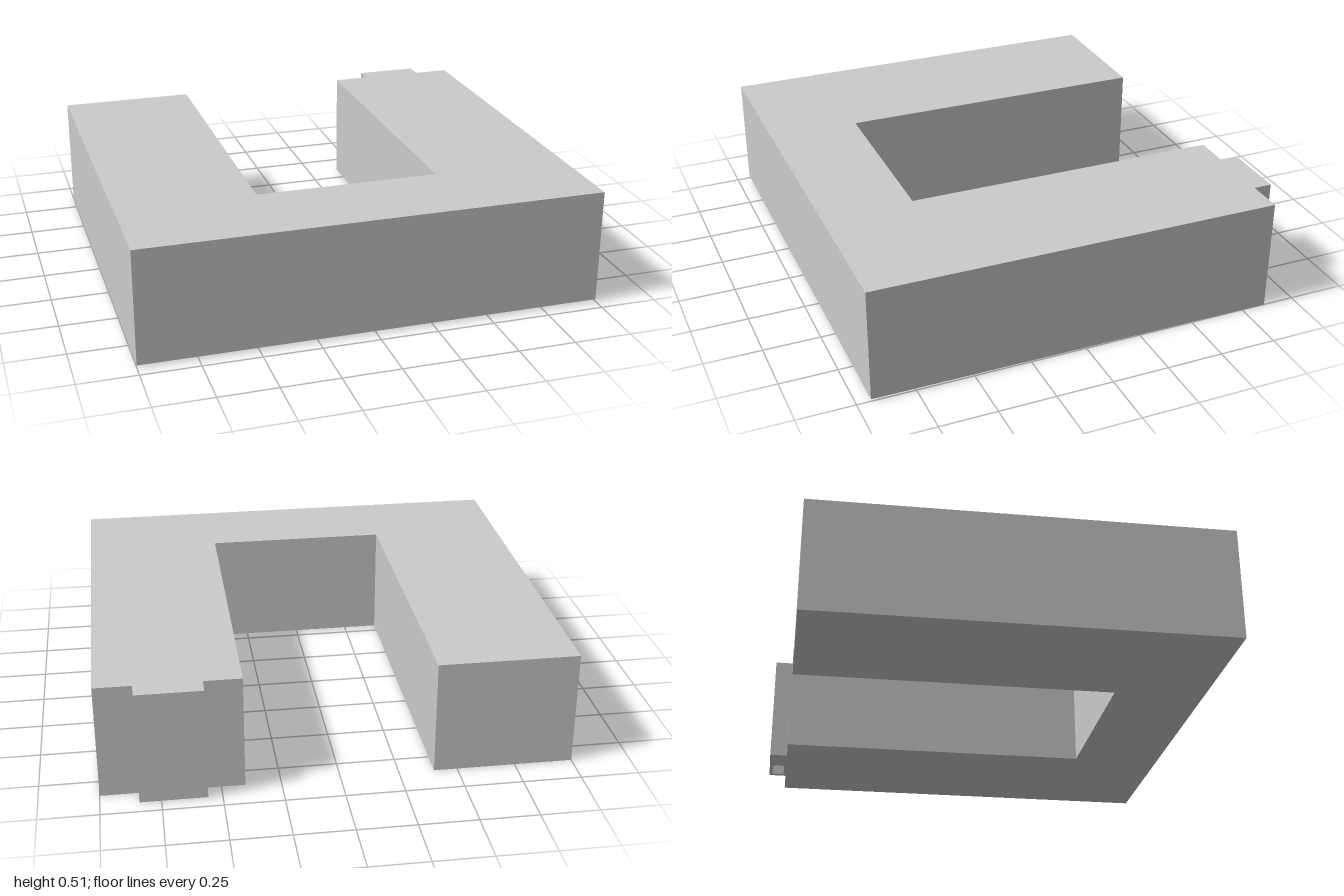
import * as THREE from 'three';

const material = new THREE.MeshStandardMaterial({ color: 0xcccccc, flatShading: true });

// Plan outline given as [x, z] pairs
const outline = (pts, Type = THREE.Shape) => new Type(pts.map(([x, z]) => new THREE.Vector2(x, -z)));
const rect = (x0, x1, z0, z1) => [[x0, z1], [x1, z1], [x1, z0], [x0, z0]];

// Raise a plan outline from y0 to y1
function prism(name, shape, y0, y1) {
  const geometry = new THREE.ExtrudeGeometry(shape, { depth: y1 - y0, bevelEnabled: false });
  geometry.rotateX(-Math.PI / 2).translate(0, y0, 0);
  const mesh = new THREE.Mesh(geometry, material);
  mesh.name = name;
  return mesh;
}

export function createModel() {
  const group = new THREE.Group();
  group.name = 'uShapedBlock';

  // U-shaped body, open towards the back
  const body = prism('body', outline([
    [-1, 0.94], [1, 0.94], [1, -0.86], [0.4, -0.86],
    [0.4, 0.54], [-0.4, 0.54], [-0.4, -0.86], [-1, -0.86],
  ]), 0, 0.5);
  // The body rises very slightly towards the front
  const pos = body.geometry.attributes.position;
  for (let i = 0; i < pos.count; i++) {
    pos.setY(i, pos.getY(i) + 0.01 * (pos.getZ(i) + 0.86) / 1.8);
  }
  body.geometry.computeVertexNormals();
  group.add(body);

  // Tab on the end of the left arm, with a shallow pocket underneath
  const tab = rect(0.56, 0.84, -0.94, -0.86);
  const rim = outline(tab);
  rim.holes.push(outline(rect(0.58, 0.82, -0.925, -0.87).reverse(), THREE.Path));
  group.add(prism('tabRim', rim, 0.005, 0.05));
  group.add(prism('tab', outline(tab), 0.05, 0.5));

  return group;
}
